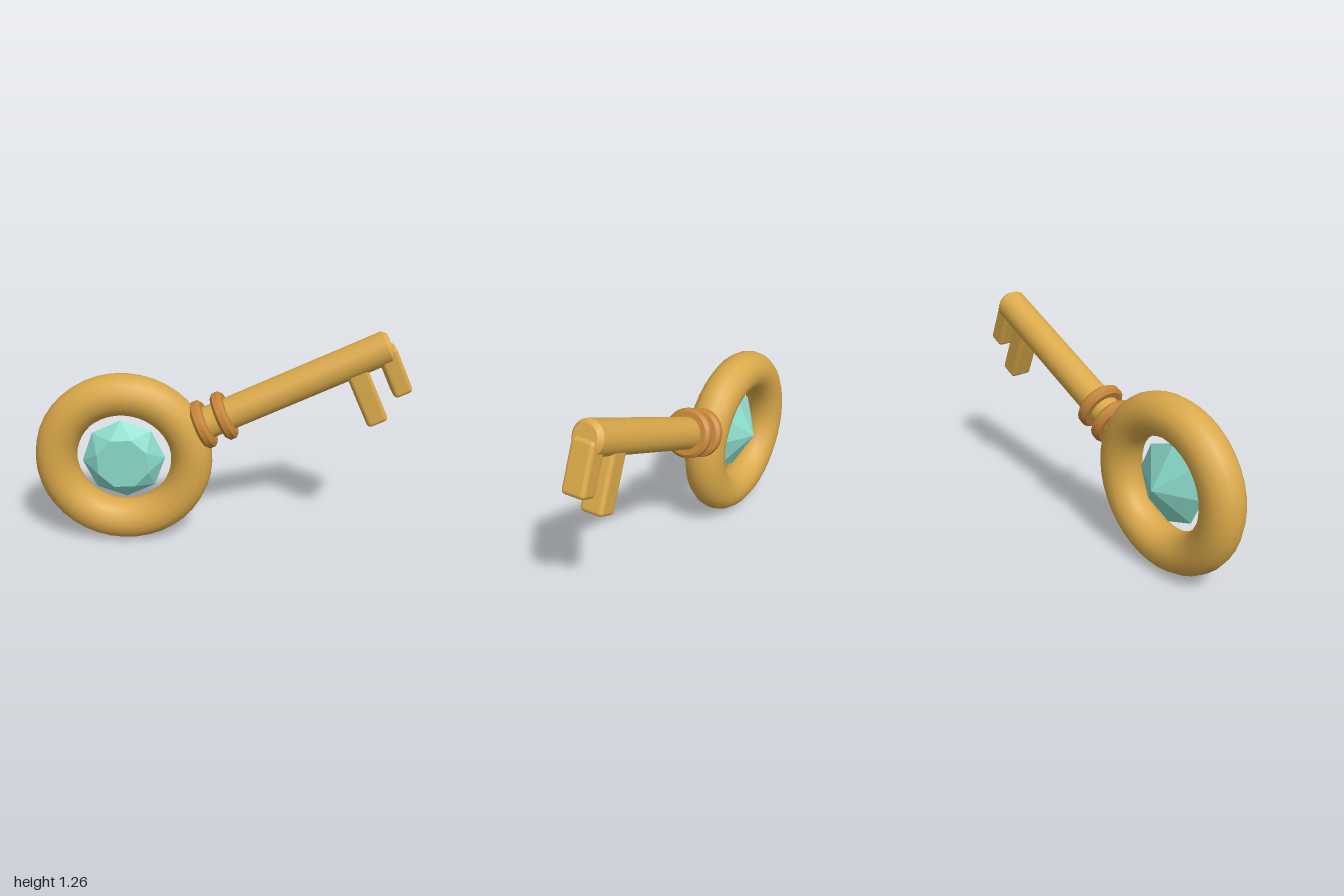
import * as THREE from 'three';
import { toCreasedNormals } from 'three/addons/utils/BufferGeometryUtils.js';
import { RoundedBoxGeometry } from 'three/addons/geometries/RoundedBoxGeometry.js';

const material = (name, color, flatShading = false) => {
  const m = new THREE.MeshStandardMaterial({ color, flatShading });
  m.name = name;
  return m;
};

// Solid of revolution lying along +x; the profile is [radius, distance] pairs.
function turned(profile, segments) {
  const points = profile.map(([r, d]) => new THREE.Vector2(r, d));
  const geometry = new THREE.LatheGeometry(points, segments).rotateZ(-Math.PI / 2);
  return toCreasedNormals(geometry, 0.6);
}

// Octagonal cut gem facing +z: flat table, triangular crown facets, pointed pavilion.
function gemGeometry() {
  const sides = 8, step = (Math.PI * 2) / sides;
  const ring = (radius, z, offset) => Array.from({ length: sides }, (_, i) => {
    const a = i * step + offset;
    return [radius * Math.cos(a), radius * Math.sin(a), z];
  });
  const table = ring(0.154, 0.09, 0);
  const girdle = ring(0.238, 0.015, step / 2);
  const positions = [];
  const face = (...corners) => corners.forEach((c) => positions.push(...c));
  for (let i = 0; i < sides; i++) {
    const j = (i + 1) % sides;
    face([0, 0, 0.09], table[i], table[j]);
    face(table[i], girdle[i], table[j]);
    face(table[j], girdle[i], girdle[j]);
    face([0, 0, -0.125], girdle[j], girdle[i]);
  }
  const geometry = new THREE.BufferGeometry();
  geometry.setAttribute('position', new THREE.Float32BufferAttribute(positions, 3));
  geometry.computeVertexNormals();
  return geometry;
}

export function createModel() {
  const gold = material('gold', 0xdaa94a);
  const copper = material('copper', 0xc58538);
  const aqua = material('aqua', 0x8adaca, true);

  const model = new THREE.Group();
  model.name = 'key';

  // Tilted frame centred on the bow, with the shaft running along its +x
  const body = new THREE.Group();
  body.name = 'keyBody';
  body.position.set(-0.521, 0.511, -0.177);
  body.rotation.set(0, THREE.MathUtils.degToRad(-20), THREE.MathUtils.degToRad(24.6), 'YXZ');
  model.add(body);

  const add = (name, geometry, mat, x = 0, y = 0) => {
    const mesh = new THREE.Mesh(geometry, mat);
    mesh.name = name;
    mesh.position.set(x, y, 0);
    body.add(mesh);
  };

  // Bow and the gem floating inside it
  add('bow', new THREE.TorusGeometry(0.39, 0.119, 16, 40), gold);
  add('gem', gemGeometry(), aqua);

  // Shaft with a bevelled tip
  add('shaft', turned([[0, 0.42], [0.092, 0.42], [0.092, 1.605], [0.07, 1.63], [0, 1.63]], 24), gold);

  // Pair of bevelled collars
  const collar = turned([
    [0, -0.033], [0.124, -0.033], [0.142, -0.016],
    [0.142, 0.016], [0.124, 0.033], [0, 0.033],
  ], 28);
  [0.505, 0.634].forEach((x, i) => add(`collar${i + 1}`, collar, copper, x));

  // Teeth hanging below the shaft: [position, width, depth below the axis]
  [[1.405, 0.12, 0.384], [1.594, 0.108, 0.281]].forEach(([x, width, depth], i) => {
    add(`tooth${i + 1}`, new RoundedBoxGeometry(width, depth, 0.135, 3, 0.024), gold, x, -depth / 2);
  });

  return model;
}
